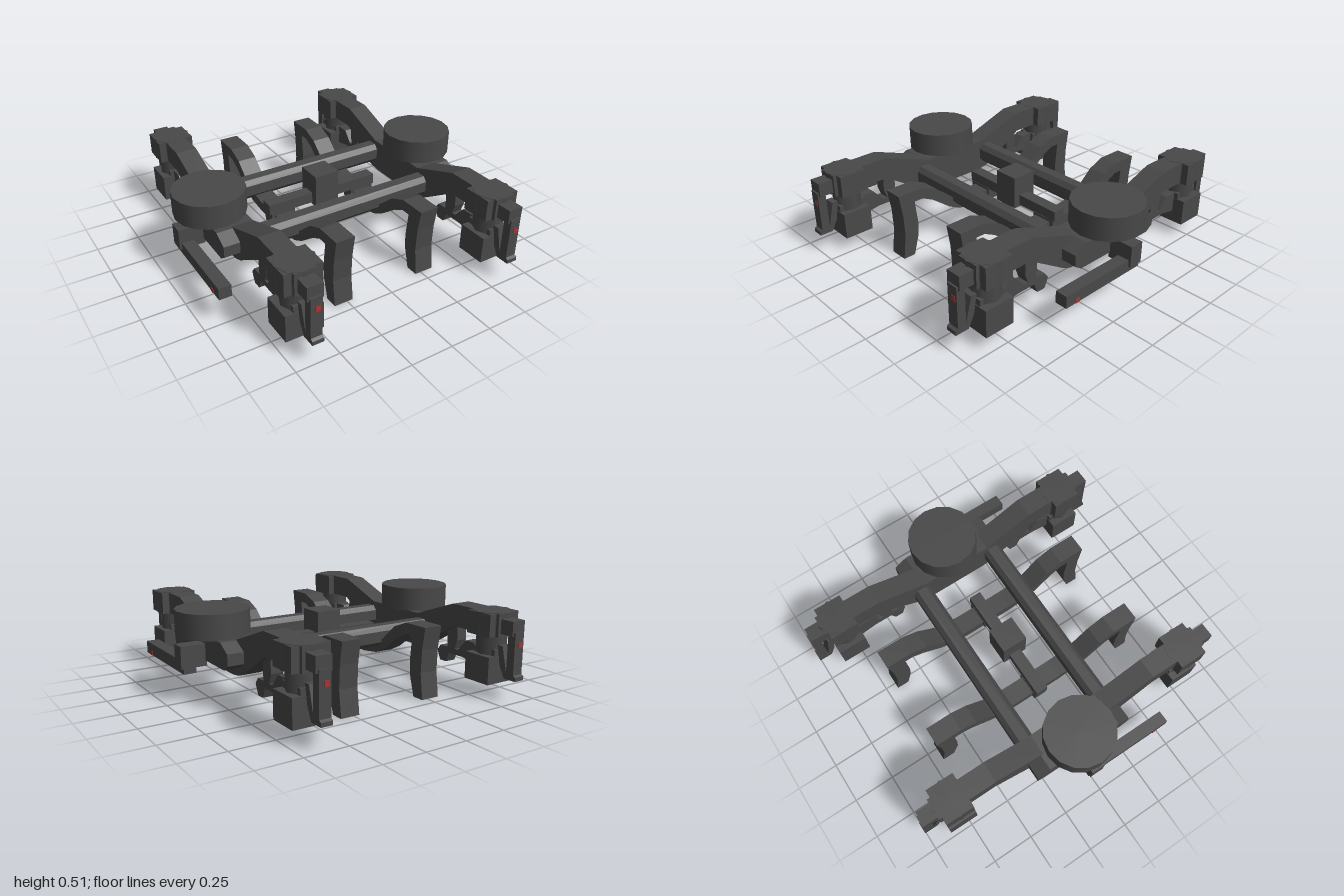
import * as THREE from 'three';

export function createModel() {
  const model = new THREE.Group();
  const dark = new THREE.MeshStandardMaterial({ color: 0x484848 });
  dark.name = 'darkGrey';
  const red = new THREE.MeshStandardMaterial({ color: 0xb03030 });
  red.name = 'red';

  const add = (parent, name, geometry, material = dark) => {
    const mesh = new THREE.Mesh(geometry, material);
    mesh.name = name;
    parent.add(mesh);
    return mesh;
  };
  // Box given by its limits on each axis
  const box = (parent, name, x0, x1, y0, y1, z0, z1, material) =>
    add(parent, name, new THREE.BoxGeometry(x1 - x0, y1 - y0, z1 - z0), material)
      .position.set((x0 + x1) / 2, (y0 + y1) / 2, (z0 + z1) / 2);
  // Side profile of [z, y] points, extruded across x around a centre
  const profile = (parent, name, points, width, x = 0) => {
    const shape = new THREE.Shape(points.map(([z, y]) => new THREE.Vector2(z, y)));
    const geometry = new THREE.ExtrudeGeometry(shape, { depth: width, bevelEnabled: false });
    geometry.rotateY(-Math.PI / 2).translate(x + width / 2, 0, 0);
    return add(parent, name, geometry);
  };
  const cylinder = (parent, name, r, y0, y1, x, z, sides) =>
    add(parent, name, new THREE.CylinderGeometry(r, r, y1 - y0, sides))
      .position.set(x, (y0 + y1) / 2, z);
  // Complete a half outline by mirroring it in z
  const mirrorZ = (half) => [...half, ...half.map(([z, y]) => [-z, y]).reverse()];

  const frameOutline = mirrorZ([
    [0.18, 0.17], [0.25, 0.18], [0.3, 0.2], [0.54, 0.35], [0.89, 0.35],
    [0.89, 0.48], [0.53, 0.48], [0.22, 0.37],
  ]);
  const plateOutline = mirrorZ([
    [0.27, 0.23], [0.315, 0.26], [0.315, 0.325], [0.235, 0.37],
  ]);
  const armOutline = mirrorZ([
    [0.15, 0.165], [0.26, 0.18], [0.34, 0.22], [0.46, 0.31], [0.53, 0.345], [0.585, 0.345],
    [0.57, 0.2], [0.575, 0.12], [0.61, 0], [0.685, 0], [0.665, 0.15], [0.67, 0.28], [0.69, 0.41],
    [0.53, 0.41], [0.43, 0.37], [0.32, 0.275], [0.25, 0.24], [0.15, 0.225],
  ]);

  // Chamfered cross beams joining the two side frames
  for (const z of [-0.255, 0.255]) {
    profile(model, 'crossBeam', [
      [z - 0.055, 0.25], [z - 0.03, 0.222], [z + 0.03, 0.222], [z + 0.055, 0.25],
      [z + 0.055, 0.315], [z + 0.03, 0.344], [z - 0.03, 0.344], [z - 0.055, 0.315],
    ], 1.2);
  }

  // Central bar and pivot block
  box(model, 'centreBar', -0.365, 0.365, 0.235, 0.3, -0.037, 0.037);
  box(model, 'pivotBlock', -0.078, 0.078, 0.225, 0.422, -0.078, 0.078);

  for (const side of [-1, 1]) {
    const x = side * 0.625;
    profile(model, 'sideFrame', frameOutline, 0.126, x);
    profile(model, 'sidePlate', plateOutline, 0.1, side * 0.733);
    cylinder(model, 'airSpring', 0.206, 0.37, 0.51, side * 0.714, 0, 16);

    // Curved inner arm with a leg at each end, on a saddle block
    profile(model, 'innerArm', armOutline, 0.115, side * 0.272);
    box(model, 'armSaddle', side * 0.277 - 0.077, side * 0.277 + 0.077, 0.165, 0.24, -0.04, 0.04);

    // Outer bracket and the bar it carries
    const bx = side * 0.85;
    box(model, 'outerBracket', bx - 0.075, bx + 0.075, 0.2, 0.325, -0.043, 0.043);
    const rx = side * 0.876;
    box(model, 'outerBar', rx - 0.036, rx + 0.036, 0.17, 0.24, -0.043, 0.515);
    box(model, 'barMark', side * 0.913 - 0.002, side * 0.913 + 0.002, 0.17, 0.195, 0.42, 0.45, red);

    // Axle and suspension group, one at each end of the frame
    for (const turn of [0, Math.PI]) {
      const end = new THREE.Group();
      end.name = 'axleEnd';
      end.position.x = x;
      end.rotation.y = turn;
      model.add(end);

      box(end, 'axleBox', -0.108, 0.108, 0.083, 0.24, 0.697, 0.875);
      box(end, 'axleBoxTop', -0.06, 0.06, 0.24, 0.275, 0.7, 0.87);
      cylinder(end, 'axleSpring', 0.085, 0.24, 0.36, 0, 0.785, 8);
      cylinder(end, 'springCap', 0.113, 0.348, 0.482, 0, 0.785, 8);
      box(end, 'springCapSide', -0.108, 0.108, 0.35, 0.479, 0.7, 0.87);

      // Link and pad reaching inwards under the frame
      profile(end, 'brakeLink', [
        [0.7, 0.15], [0.6, 0.17], [0.485, 0.17], [0.46, 0.112], [0.41, 0.112], [0.385, 0.17],
        [0.41, 0.205], [0.56, 0.205], [0.62, 0.275], [0.7, 0.275],
      ], 0.07);
      profile(end, 'brakeHanger', [
        [0.47, 0.19], [0.525, 0.19], [0.55, 0.26], [0.545, 0.36], [0.465, 0.36],
      ], 0.07);

      // Guard hanging from the end of the frame
      box(end, 'guardMount', -0.045, 0.045, 0.37, 0.452, 0.86, 0.975);
      box(end, 'guardPost', -0.033, 0.033, 0.15, 0.39, 0.935, 0.985);
      profile(end, 'guardFoot', [
        [0.92, 0.122], [1, 0.122], [1, 0.145], [0.975, 0.16], [0.935, 0.16],
        [0.9, 0.3], [0.865, 0.3], [0.885, 0.19],
      ], 0.066);
      box(end, 'guardMark', -0.005, 0.022, 0.305, 0.335, 0.984, 0.988, red);
    }
  }
  return model;
}
